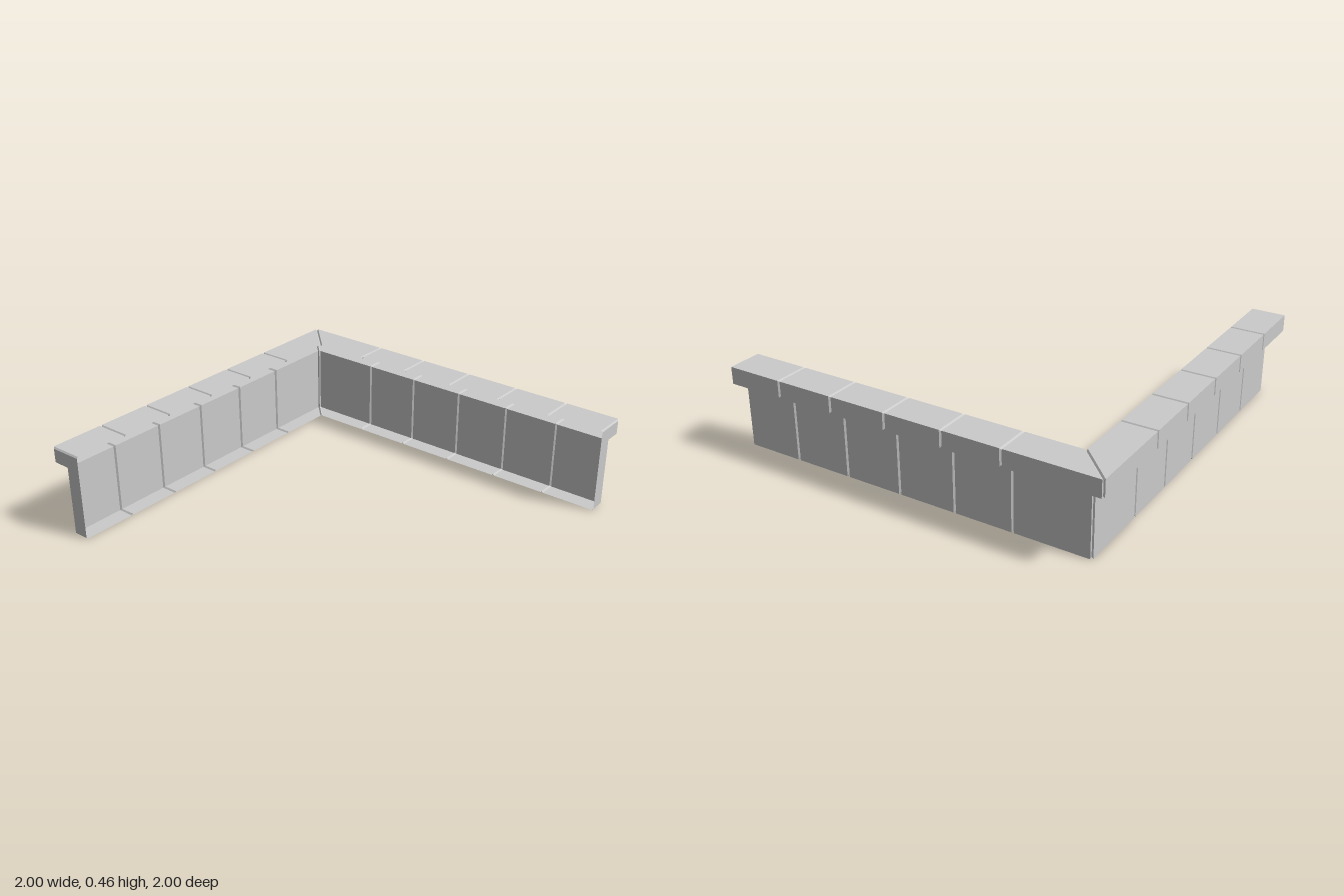
import * as THREE from 'three';

const BLOCKS = 6;
const INNER = -0.822;      // open inner edge of the trim
const END = 1;             // far end of each arm
const HALF_SEAM = 0.007;
const SEAM_DEPTH = 0.008;

// Open cross-section [z, y], from the top inner edge around to the bottom inner edge,
// shrunk inwards by d at the seams.
const profile = (d) => [
  [INNER, 0.457 - d],
  [-1 + d, 0.457 - d],
  [-1 + d, 0.369 + d],
  [-0.91 + d, 0.369 + d],
  [-0.91 + d, d],
  [INNER, d],
];

// One cross-section at x; a mitred one follows the 45 degree corner.
function ring(x, d, mitred) {
  return profile(d).map(([z, y]) => [mitred ? z + x : x, y, z]);
}

// Skin neighbouring cross-sections with quads.
function loft(rings) {
  const n = rings[0].length;
  const index = [];
  for (let i = 0; i < rings.length - 1; i++) {
    for (let j = 0; j < n - 1; j++) {
      const a = i * n + j, b = a + 1, d = a + n, c = d + 1;
      index.push(a, d, b, d, c, b);
    }
  }
  const geo = new THREE.BufferGeometry();
  geo.setAttribute('position', new THREE.Float32BufferAttribute(rings.flat(2), 3));
  geo.setIndex(index);
  const flat = geo.toNonIndexed();
  flat.computeVertexNormals();
  return flat;
}

function createArm(name, material) {
  const arm = new THREE.Group();
  arm.name = name;
  const step = (END - INNER) / BLOCKS;

  // Blocks with bevelled ends that meet in V-shaped seams
  for (let k = 0; k < BLOCKS; k++) {
    const x0 = INNER + k * step, x1 = x0 + step;
    const start = k === 0
      ? [ring(0, SEAM_DEPTH, true), ring(HALF_SEAM * Math.SQRT2, 0, true)]
      : [ring(x0, SEAM_DEPTH), ring(x0 + HALF_SEAM, 0)];
    const block = new THREE.Mesh(
      loft([...start, ring(x1 - HALF_SEAM, 0), ring(x1, SEAM_DEPTH)]), material);
    block.name = k === 0 ? 'cornerBlock' : 'block' + k;
    arm.add(block);
  }

  // Flat plate closing the far end
  const outline = profile(SEAM_DEPTH).map(([z, y]) => new THREE.Vector2(-z, y));
  const plate = new THREE.Mesh(
    new THREE.ShapeGeometry(new THREE.Shape(outline)).rotateY(Math.PI / 2).translate(END, 0, 0),
    material);
  plate.name = 'endPlate';
  arm.add(plate);
  return arm;
}

export function createModel() {
  const material = new THREE.MeshStandardMaterial({
    color: 0xcccccc, flatShading: true, side: THREE.DoubleSide,
  });
  const model = new THREE.Group();
  model.name = 'cornerTrim';

  const back = createArm('backArm', material);
  // Mirrored across the corner diagonal (x and z swapped)
  const side = createArm('sideArm', material);
  side.scale.x = -1;
  side.rotation.y = Math.PI / 2;

  model.add(back, side);
  return model;
}
